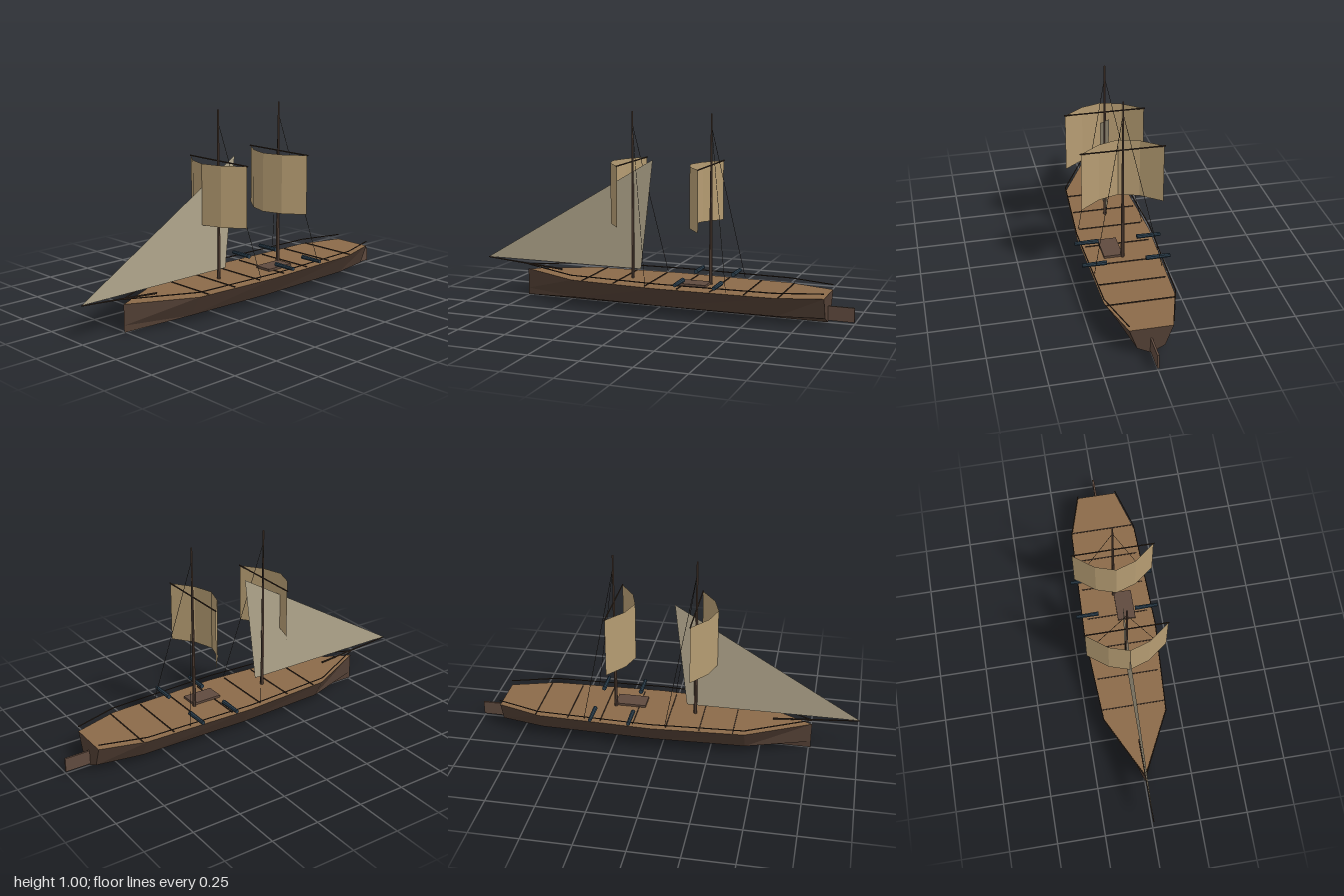
import * as THREE from 'three';

const mat = (name, color, side = THREE.FrontSide) => {
  const m = new THREE.MeshStandardMaterial({ color, side, flatShading: true });
  m.name = name;
  return m;
};

const DECK_Y = 0.14;
// Hull stations from bow to stern: [z, half width at deck]
const STATIONS = [[0.76, 0], [0.43, 0.165], [-0.05, 0.193], [-0.64, 0.174], [-0.87, 0.105]];

export function createModel() {
  const hullBrown = mat('hull brown', 0x523f34);
  const deckBrown = mat('deck brown', 0x8b6a49);
  const mastBrown = mat('mast brown', 0x5f4a3e);
  const darkWood = mat('dark wood', 0x3a2c22);
  const canvas = mat('sail canvas', 0xb59c72, THREE.DoubleSide);
  const jibCanvas = mat('jib canvas', 0xb0a58b, THREE.DoubleSide);
  const ropeDark = mat('rope dark', 0x2e2822);
  const iron = mat('cannon iron', 0x2b3e4c);

  const ship = new THREE.Group();
  ship.name = 'sailingShip';
  const V = (x, y, z) => new THREE.Vector3(x, y, z);

  const add = (name, geometry, material, x = 0, y = 0, z = 0) => {
    const mesh = new THREE.Mesh(geometry, material);
    mesh.name = name;
    mesh.position.set(x, y, z);
    ship.add(mesh);
    return mesh;
  };

  // Round bar between two points
  const bar = (name, a, b, ra, rb, material, sides = 6) => {
    const dir = b.clone().sub(a);
    const mesh = add(name, new THREE.CylinderGeometry(rb, ra, dir.length(), sides), material);
    mesh.position.copy(a).add(b).multiplyScalar(0.5);
    mesh.quaternion.setFromUnitVectors(V(0, 1, 0), dir.normalize());
    return mesh;
  };

  // Hull: hard-chine cross-sections joined from bow to stern
  const sections = STATIONS.map(([z, w]) => [
    V(w, DECK_Y, z), V(w * 0.64, 0.035, z), V(0, 0, z), V(-w * 0.64, 0.035, z), V(-w, DECK_Y, z),
  ]);
  const tris = [];
  for (let s = 0; s < sections.length - 1; s++) {
    for (let i = 0; i < 4; i++) {
      const a = sections[s][i], c = sections[s][i + 1];
      const b = sections[s + 1][i], d = sections[s + 1][i + 1];
      tris.push(a, c, b, b, c, d);
    }
  }
  const transom = sections[sections.length - 1];
  for (let i = 1; i < 4; i++) tris.push(transom[0], transom[i], transom[i + 1]);
  const hull = new THREE.BufferGeometry().setFromPoints(tris);
  hull.computeVertexNormals();
  add('hull', hull, hullBrown);

  // Deck plate
  const outline = [
    ...STATIONS.map(([z, w]) => new THREE.Vector2(w, -z)),
    ...STATIONS.slice(1).reverse().map(([z, w]) => new THREE.Vector2(-w, -z)),
  ];
  const deck = new THREE.ShapeGeometry(new THREE.Shape(outline));
  deck.rotateX(-Math.PI / 2);
  add('deck', deck, deckBrown, 0, DECK_Y, 0);

  // Deck seams
  for (let i = 0; i < 7; i++) {
    add('deckSeam', new THREE.BoxGeometry(0.33, 0.004, 0.005), darkWood, 0, DECK_Y + 0.002, -0.66 + i * 0.1717);
  }

  // Rails along both sides
  for (const side of [1, -1]) {
    for (let s = 0; s < STATIONS.length - 1; s++) {
      const [z0, w0] = STATIONS[s], [z1, w1] = STATIONS[s + 1];
      bar('rail', V(side * w0, 0.165, z0), V(side * w1, 0.165, z1), 0.003, 0.003, darkWood);
    }
  }

  // Rudder, hatch and bowsprit
  add('rudder', new THREE.BoxGeometry(0.01, 0.072, 0.13), mastBrown, 0, 0.047, -0.935);
  add('hatch', new THREE.BoxGeometry(0.095, 0.012, 0.16), mastBrown, 0.0475, 0.148, -0.19);
  bar('bowsprit', V(0, 0.152, 0.56), V(0, 0.187, 1), 0.005, 0.003, darkWood);

  // Masts with yard, billowed square sail and two stays each
  for (const z of [0.155, -0.267]) {
    bar('mast', V(0, DECK_Y, z), V(0, 1, z), 0.0095, 0.004, mastBrown, 8);
    bar('yard', V(-0.21, 0.745, z), V(0.21, 0.745, z), 0.0035, 0.0035, darkWood);

    const sail = new THREE.PlaneGeometry(0.41, 0.308, 4, 1);
    const p = sail.attributes.position;
    for (let i = 0; i < p.count; i++) {
      p.setZ(i, 0.11 * Math.cos((p.getX(i) / 0.41) * Math.PI));
    }
    sail.computeVertexNormals();
    add('squareSail', sail, canvas, 0, 0.591, z);

    for (const side of [1, -1]) {
      bar('stay', V(0, 0.935, z), V(side * 0.17, 0.148, z - 0.132), 0.0013, 0.0013, ropeDark, 4);
    }
  }

  // Triangular jib
  const jib = new THREE.BufferGeometry().setFromPoints([V(0, 0.188, 1), V(0, 0.188, 0.11), V(0, 0.758, 0.045)]);
  jib.computeVertexNormals();
  add('jib', jib, jibCanvas);

  // Cannons, two on each side
  for (const side of [1, -1]) {
    for (const z of [-0.155, -0.355]) {
      bar('cannon', V(side * 0.1, 0.174, z), V(side * 0.223, 0.174, z), 0.012, 0.01, iron, 8);
    }
  }

  return ship;
}
